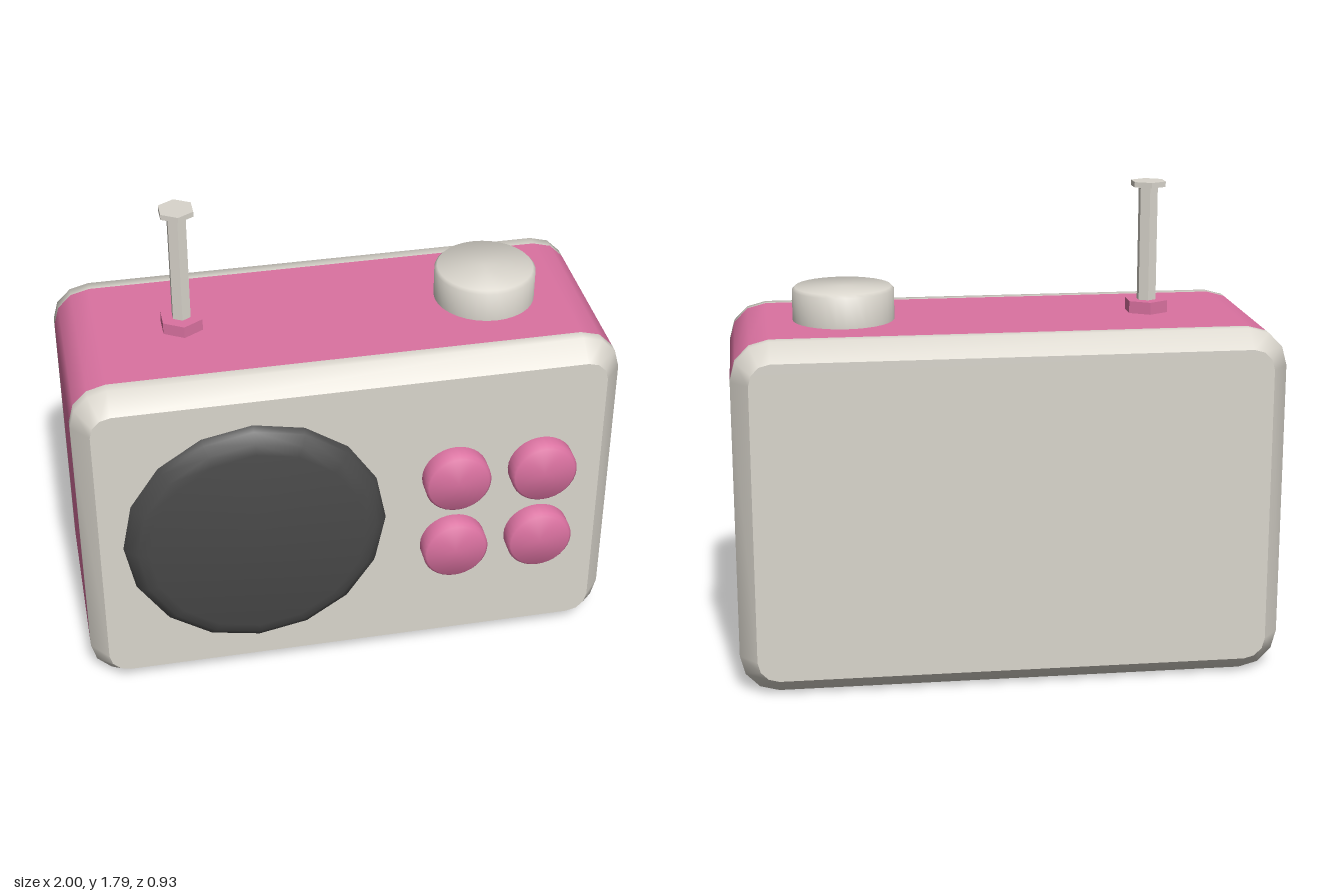
import * as THREE from 'three';
import { toCreasedNormals } from 'three/addons/utils/BufferGeometryUtils.js';

const flat = (name, color) => Object.assign(new THREE.MeshStandardMaterial({ color }), { name });

// Rounded rectangle outline, counter-clockwise seen from the front
function outline(inset) {
  const cx = 0.86, cy = 0.5125, r = 0.14 - inset, pts = [];
  [[1, 1], [-1, 1], [-1, -1], [1, -1]].forEach(([sx, sy], q) => {
    for (let k = 0; k <= 3; k++) {
      const a = (q + k / 3) * Math.PI / 2;
      pts.push(new THREE.Vector2(sx * cx + r * Math.cos(a), 0.6525 + sy * cy + r * Math.sin(a)));
    }
  });
  return pts;
}

// Wall of the case: outline loops joined front to back, one material per band
function wallGeometry(loops) {
  const pos = [], index = [], geo = new THREE.BufferGeometry();
  loops.forEach(([z, inset]) => outline(inset).forEach(p => pos.push(p.x, p.y, z)));
  const n = 16;
  for (let l = 0; l < loops.length - 1; l++) {
    geo.addGroup(index.length, n * 6, loops[l][2]);
    for (let i = 0; i < n; i++) {
      const a = l * n + i, b = l * n + (i + 1) % n, c = a + n, d = b + n;
      index.push(a, c, b, b, c, d);
    }
  }
  geo.setAttribute('position', new THREE.Float32BufferAttribute(pos, 3));
  geo.setIndex(index);
  geo.computeVertexNormals();
  return geo;
}

// Turned part with its base at y = 0
function turned(profile, sides) {
  const geo = new THREE.LatheGeometry(profile.map(p => new THREE.Vector2(...p)), sides);
  return toCreasedNormals(geo, 0.85);
}

export function createModel() {
  const model = new THREE.Group();
  model.name = 'portableRadio';
  const cream = flat('cream', 0xd9d5cc);
  const pink = flat('pink', 0xdb72a1);
  const charcoal = flat('charcoal', 0x484848);

  const add = (name, geo, mat, x, y, z, parent = model) => {
    const mesh = new THREE.Mesh(geo, mat);
    mesh.name = name;
    mesh.position.set(x, y, z);
    parent.add(mesh);
    return mesh;
  };

  // Case: bevelled cream rims around a pink band, closed by two panels
  const front = 0.4, back = -0.467, bevel = 0.063;
  add('caseWall', wallGeometry([
    [front, bevel, 0], [0.325, 0, 0], [0.285, 0, 1],
    [-0.35, 0, 0], [-0.392, 0, 0], [back, bevel, 0],
  ]), [cream, pink], 0, 0, 0);
  const panel = new THREE.ShapeGeometry(new THREE.Shape(outline(bevel)));
  add('frontPanel', panel, cream, 0, 0, front);
  const rear = add('backPanel', panel, cream, 0, 0, back);
  rear.rotation.y = Math.PI;

  // Speaker dome
  const speaker = turned([[0.487, 0], [0.475, 0.025], [0.44, 0.051], [0.4, 0.062], [0, 0.063]], 16);
  add('speaker', speaker, charcoal, -0.365, 0.655, front).rotation.x = Math.PI / 2;

  // Four push buttons
  const button = turned([[0.124, 0], [0.124, 0.056], [0.114, 0.066], [0, 0.067]], 32);
  for (const x of [0.38, 0.705]) {
    for (const y of [0.5, 0.815]) {
      add('button', button, pink, x, y, front).rotation.x = Math.PI / 2;
    }
  }

  // Tuning dial
  const top = 1.305, midZ = -0.035;
  add('dial', turned([[0.187, 0], [0.187, 0.112], [0.177, 0.123], [0, 0.124]], 32), cream, 0.58, top, midZ);

  // Hexagonal antenna
  const antenna = new THREE.Group();
  antenna.name = 'antenna';
  antenna.position.set(-0.552, top, midZ);
  model.add(antenna);
  const hex = (name, r, y0, y1, mat) =>
    add(name, toCreasedNormals(new THREE.CylinderGeometry(r, r, y1 - y0, 6), 0.5), mat, 0, (y0 + y1) / 2, 0, antenna);
  hex('antennaNut', 0.083, 0, 0.045, pink);
  hex('antennaRod', 0.037, 0, 0.475, cream);
  hex('antennaTip', 0.067, 0.468, 0.488, cream);

  return model;
}
